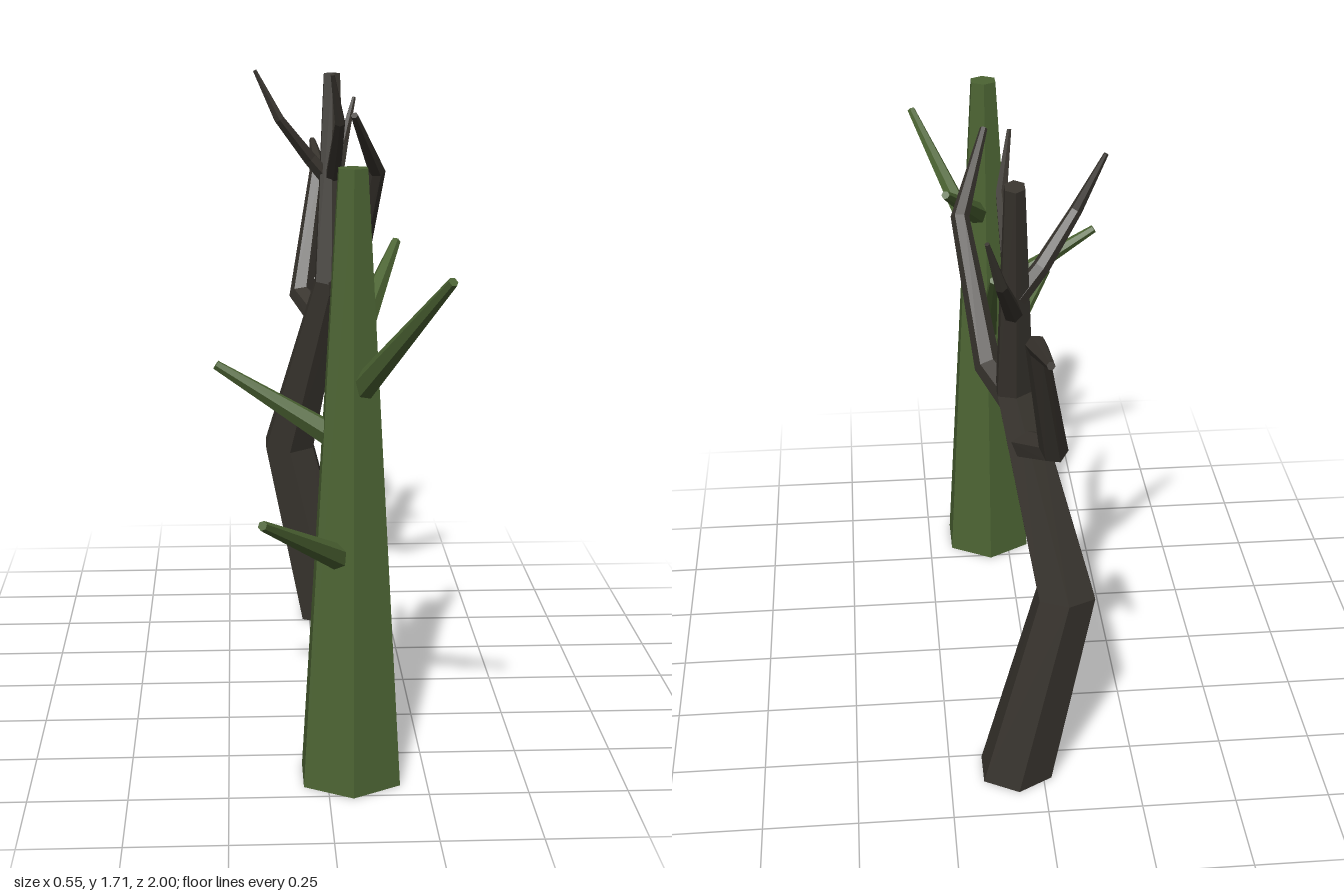
import * as THREE from 'three';

const SIDES = 6;
const green = new THREE.MeshStandardMaterial({ color: 0x4c6433, flatShading: true });
const bark = new THREE.MeshStandardMaterial({ color: 0x38342e, flatShading: true });

// Hexagonal limb swept through nodes [x, y, z, radius], with mitred joints and closed ends
function limb(name, nodes, material, flatBase = false) {
  const pts = nodes.map(n => new THREE.Vector3(n[0], n[1], n[2]));
  const last = pts.length - 1;
  const pos = [], idx = [];
  let normal = new THREE.Vector3(0, 0, 1);
  pts.forEach((p, i) => {
    const tangent = new THREE.Vector3();
    if (i > 0) tangent.add(p.clone().sub(pts[i - 1]).normalize());
    if (i < last) tangent.add(pts[i + 1].clone().sub(p).normalize());
    if (i === 0 && flatBase) tangent.set(0, 1, 0);
    tangent.normalize();
    normal = normal.clone().addScaledVector(tangent, -normal.dot(tangent)).normalize();
    const side = new THREE.Vector3().crossVectors(tangent, normal);
    for (let k = 0; k < SIDES; k++) {
      const a = (k / SIDES) * Math.PI * 2;
      const v = p.clone()
        .addScaledVector(normal, Math.cos(a) * nodes[i][3])
        .addScaledVector(side, Math.sin(a) * nodes[i][3]);
      pos.push(v.x, v.y, v.z);
    }
  });
  for (let i = 0; i < last; i++) {
    for (let k = 0; k < SIDES; k++) {
      const a = i * SIDES + k, b = i * SIDES + (k + 1) % SIDES;
      idx.push(a, b, b + SIDES, a, b + SIDES, a + SIDES);
    }
  }
  const top = last * SIDES;
  for (let k = 1; k < SIDES - 1; k++) {
    idx.push(0, k + 1, k);
    idx.push(top, top + k, top + k + 1);
  }
  const indexed = new THREE.BufferGeometry();
  indexed.setAttribute('position', new THREE.Float32BufferAttribute(pos, 3));
  indexed.setIndex(idx);
  const geometry = indexed.toNonIndexed();
  geometry.computeVertexNormals();
  const mesh = new THREE.Mesh(geometry, material);
  mesh.name = name;
  return mesh;
}

// Straight tapered trunk with five spike branches
function createGreenTree() {
  const tree = new THREE.Group();
  tree.name = 'greenTree';
  const trunk = new THREE.Mesh(new THREE.CylinderGeometry(0.04, 0.14, 1.55, SIDES), green);
  trunk.name = 'greenTrunk';
  trunk.position.set(0.06, 0.775, 0.625);
  tree.add(trunk);
  const branches = [
    [[0.03, 0.6, 0.68], [-0.165, 0.78, 0.98]],
    [[0.06, 0.77, 0.57], [0.06, 1.08, 0.26]],
    [[0.02, 0.89, 0.62], [-0.27, 1.075, 0.62]],
    [[0.08, 1.02, 0.66], [0.26, 1.34, 0.99]],
    [[0.08, 1.15, 0.59], [0.19, 1.325, 0.31]],
  ];
  for (const [base, tip] of branches) {
    tree.add(limb('greenBranch', [[...base, 0.033], [...tip, 0.012]], green));
  }
  return tree;
}

// Crooked bare trunk with kinked boughs and twigs
function createBareTree() {
  const tree = new THREE.Group();
  tree.name = 'bareTree';
  tree.add(limb('bareTrunk', [
    [0.07, 0, -0.56, 0.105],
    [-0.06, 0.56, -0.56, 0.083],
    [0.06, 1.09, -0.42, 0.052],
    [0.07, 1.69, -0.56, 0.027],
  ], bark, true));
  tree.add(limb('frontBough', [
    [0.06, 1.06, -0.43, 0.04],
    [0.12, 1.11, -0.32, 0.035],
    [0.175, 1.45, -0.15, 0.024],
    [0.1, 1.62, 0.03, 0.01],
  ], bark));
  tree.add(limb('backBough', [
    [0.04, 0.96, -0.47, 0.04],
    [-0.02, 1.02, -0.61, 0.037],
    [0.04, 1.39, -0.78, 0.026],
    [0.03, 1.45, -1.0, 0.01],
  ], bark));
  tree.add(limb('rightTwig', [
    [0.06, 1.38, -0.5, 0.025],
    [0.0, 1.45, -0.48, 0.022],
    [-0.09, 1.57, -0.42, 0.016],
    [-0.16, 1.71, -0.42, 0.006],
  ], bark));
  tree.add(limb('frontTwig', [
    [0.07, 1.4, -0.47, 0.024],
    [0.08, 1.57, -0.295, 0.016],
    [0.055, 1.71, -0.23, 0.006],
  ], bark));
  tree.add(limb('backTwig', [
    [0.07, 1.34, -0.5, 0.025],
    [0.11, 1.48, -0.65, 0.016],
    [0.145, 1.61, -0.7, 0.006],
  ], bark));
  return tree;
}

export function createModel() {
  const model = new THREE.Group();
  model.name = 'twoTrees';
  model.add(createGreenTree(), createBareTree());
  return model;
}
